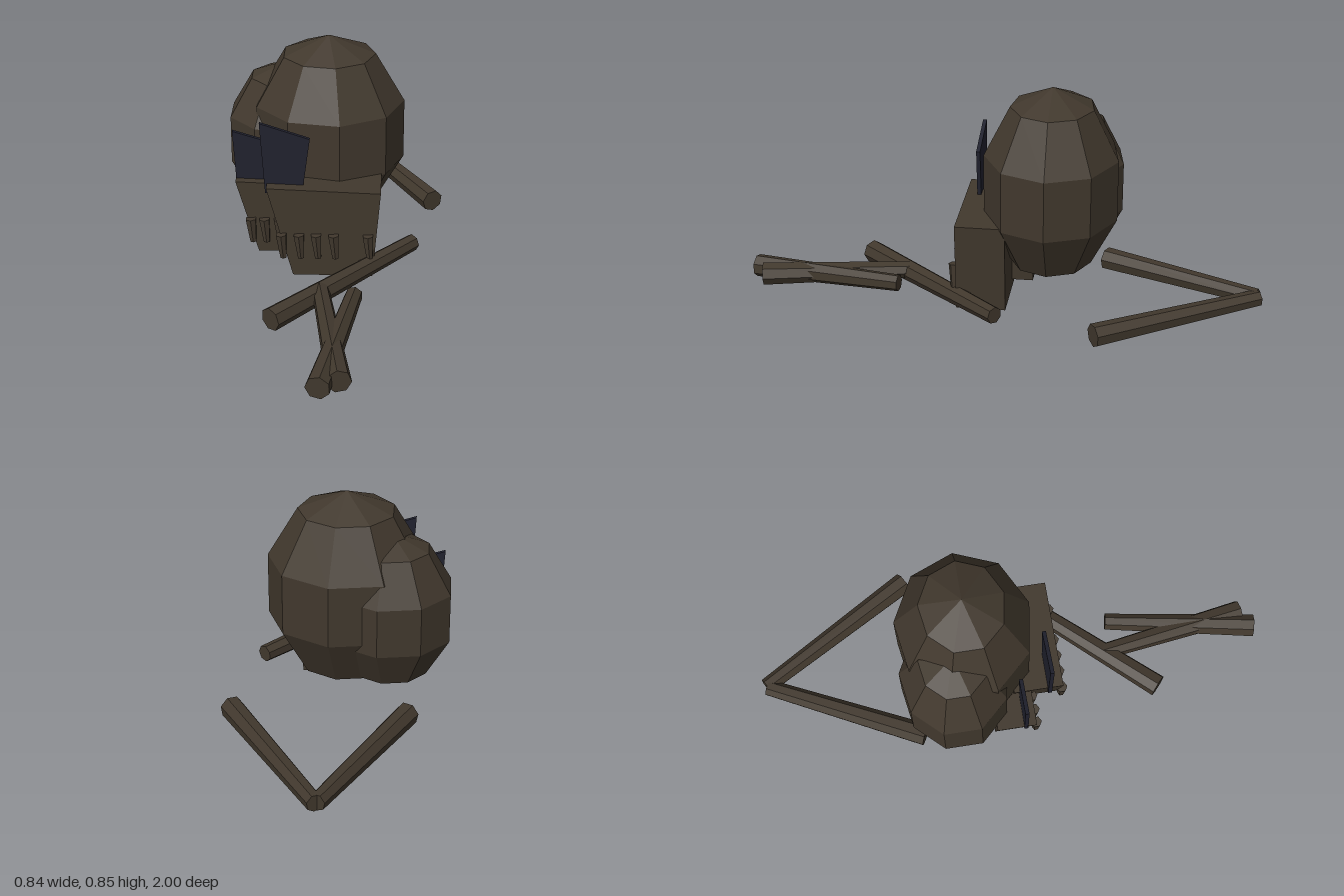
import * as THREE from 'three';

const bone = new THREE.MeshStandardMaterial({ color: 0x41382d });
bone.name = 'old bone';
const dark = new THREE.MeshStandardMaterial({ color: 0x20212e });
dark.name = 'dark socket';
bone.flatShading = dark.flatShading = true;

function add(group, name, geometry, material = bone) {
  const mesh = new THREE.Mesh(geometry, material);
  mesh.name = name;
  group.add(mesh);
  return mesh;
}

// Four-cornered slab seen from the front, running from zBack to zFront
function slab(corners, zBack, zFront) {
  const shape = new THREE.Shape(corners.map(([x, y]) => new THREE.Vector2(x, y)));
  return new THREE.ExtrudeGeometry(shape, { depth: zFront - zBack, bevelEnabled: false })
    .translate(0, 0, zBack);
}

// Tapered rod from a (radius ra) to b (radius rb)
function rod(a, b, ra, rb, sides) {
  const from = new THREE.Vector3(...a), to = new THREE.Vector3(...b);
  const dir = to.clone().sub(from);
  const geometry = new THREE.CylinderGeometry(rb, ra, dir.length(), sides);
  geometry.applyQuaternion(new THREE.Quaternion()
    .setFromUnitVectors(new THREE.Vector3(0, 1, 0), dir.clone().normalize()));
  const mid = from.add(to).multiplyScalar(0.5);
  return geometry.translate(mid.x, mid.y, mid.z);
}

function skull(name, s) {
  const group = new THREE.Group();
  group.name = name;

  // Faceted egg-shaped cranium
  const cranium = add(group, 'cranium', new THREE.SphereGeometry(1, 9, 5).rotateY(Math.PI));
  cranium.scale.set(0.306, 0.385, 0.272).multiplyScalar(s.size);
  cranium.position.set(...s.center);

  // Tapered jaw block and the single socket plate standing on it
  add(group, 'jaw', slab(s.jaw, ...s.jawZ));
  add(group, 'eyeSocket', slab(s.eye, ...s.eyeZ), dark);

  // Teeth hanging on the jaw front, leaning slightly
  const z = s.jawZ[1] + 0.008;
  for (const x of s.teeth) {
    add(group, 'tooth', rod([x + 0.005, 0.085, z], [x - 0.003, 0.183, z], 0.013, 0.022, 6));
  }
  return group;
}

export function createModel() {
  const model = new THREE.Group();
  model.name = 'bonePile';

  model.add(skull('largeSkull', {
    size: 1,
    center: [-0.036, 0.47, -0.18],
    jaw: [[-0.16, 0.005], [0.143, 0.005], [0.172, 0.357], [-0.258, 0.371]],
    jawZ: [-0.025, 0.165],
    eye: [[-0.265, 0.33], [-0.125, 0.33], [-0.095, 0.556], [-0.283, 0.618]],
    eyeZ: [0.105, 0.12],
    teeth: [-0.2, -0.133, -0.068, -0.002, 0.128],
  }));

  model.add(skull('smallSkull', {
    size: 0.8,
    center: [-0.2, 0.414, -0.24],
    jaw: [[-0.3, 0.038], [-0.06, 0.038], [-0.035, 0.325], [-0.385, 0.336]],
    jawZ: [-0.107, 0.043],
    eye: [[-0.382, 0.3], [-0.27, 0.3], [-0.245, 0.487], [-0.396, 0.533]],
    eyeZ: [-0.005, 0.01],
    teeth: [-0.325, -0.273, -0.217],
  }));

  // Loose long bones on the ground: thick end x, z then thin end x, z
  const bones = [
    [0.38, -0.38, 0.02, -0.98],
    [-0.275, -0.38, 0.015, -0.975],
    [-0.217, 0.565, 0.297, -0.005],
    [-0.026, 0.992, 0.08, 0.4],
    [0.045, 0.95, -0.045, 0.37],
  ];
  for (const [x1, z1, x2, z2] of bones) {
    add(model, 'longBone', rod([x1, 0.049, z1], [x2, 0.062, z2], 0.045, 0.033, 7));
  }
  return model;
}
